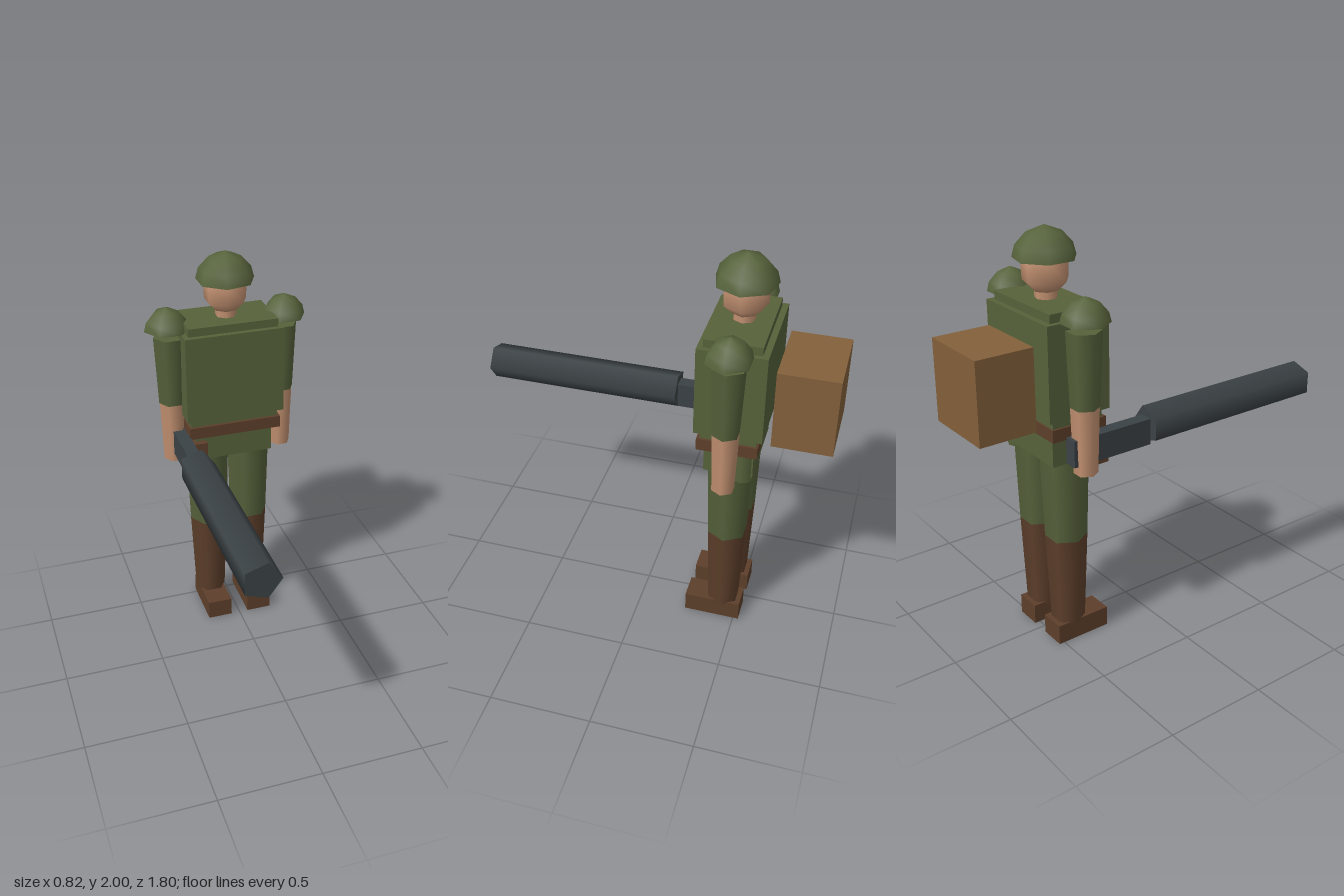
import * as THREE from 'three';

const paint = (name, color) => Object.assign(new THREE.MeshStandardMaterial({ color }), { name });

export function createModel() {
  const olive = paint('olive', 0x56623b);
  const skin = paint('skin', 0xc39171);
  const leather = paint('leather', 0x5d3f2b);
  const canvas = paint('canvas', 0x83603b);
  const steel = paint('steel', 0x3b4245);

  const model = new THREE.Group();
  model.name = 'soldier';
  const Z = -0.432; // depth of the body axis

  const add = (name, geometry, material, x = 0, y = 0, z = 0) => {
    const mesh = new THREE.Mesh(geometry, material);
    mesh.name = name;
    mesh.position.set(x, y, z);
    model.add(mesh);
    return mesh;
  };
  // Box given by its limits on each axis
  const box = (name, material, [x0, x1], [y0, y1], [z0, z1]) =>
    add(name, new THREE.BoxGeometry(x1 - x0, y1 - y0, z1 - z0), material,
      (x0 + x1) / 2, (y0 + y1) / 2, (z0 + z1) / 2);
  // Upright tapered limb with a corner towards +x
  const limb = (name, material, x, y0, y1, r0, r1, sides = 6, z = Z) =>
    add(name, new THREE.CylinderGeometry(r1, r0, y1 - y0, sides, 1, false, Math.PI / 2),
      material, x, (y0 + y1) / 2, z);
  const lathe = (name, material, points, sides, x, y) =>
    add(name, new THREE.LatheGeometry(points.map(p => new THREE.Vector2(...p)), sides, Math.PI / 2),
      material, x, y, Z);
  // Dome closed by a flat underside
  const dome = (name, radius, height, sides, x, y) => {
    const profile = [[1, 0], [0.9, 0.38], [0.55, 0.78], [0, 1]];
    lathe(name, olive, profile.map(([r, h]) => [r * radius, h * height]), sides, x, y);
    add(name + 'Underside', new THREE.CircleGeometry(radius, sides).rotateX(Math.PI / 2), olive, x, y, Z);
  };

  // Body
  box('torso', olive, [-0.225, 0.225], [1.1, 1.68], [-0.562, -0.302]);
  box('vest', olive, [-0.248, 0.248], [1.2, 1.64], [-0.59, -0.275]);
  box('belt', leather, [-0.236, 0.236], [1.1, 1.16], [-0.57, -0.287]);
  box('pelvis', olive, [-0.2, 0.2], [0.963, 1.12], [-0.55, -0.318]);
  box('backpack', canvas, [-0.185, 0.185], [1.15, 1.54], [-0.9, -0.62]);
  box('holster', leather, [-0.25, -0.147], [0.94, 1.07], [-0.4, -0.285]);
  limb('canteen', olive, 0.172, 0.94, 1.09, 0.054, 0.054, 8, -0.5);

  // Head
  limb('neck', skin, 0, 1.66, 1.75, 0.052, 0.052, 7);
  lathe('head', skin, [[0, 1.705], [0.06, 1.715], [0.105, 1.76], [0.107, 1.86], [0.06, 1.92], [0, 1.93]], 7, 0, 0);
  dome('helmet', 0.145, 0.143, 7, 0, 1.857);

  // Arms and legs
  for (const [side, s] of [['left', 1], ['right', -1]]) {
    dome(side + 'ShoulderPad', 0.11, 0.115, 6, s * 0.298, 1.64);
    limb(side + 'Sleeve', olive, s * 0.285, 1.255, 1.605, 0.066, 0.081);
    limb(side + 'Forearm', skin, s * 0.283, 0.94, 1.255, 0.055, 0.065);
    limb(side + 'Thigh', olive, s * 0.11, 0.55, 0.99, 0.1, 0.113);
    limb(side + 'Shin', leather, s * 0.11, 0.09, 0.55, 0.081, 0.1);
    box(side + 'Foot', leather, [s * 0.11 - 0.064, s * 0.11 + 0.064], [0, 0.1], [-0.527, -0.246]);
  }

  // Weapon carried in the right hand
  box('gunBody', steel, [-0.297, -0.232], [0.985, 1.112], [-0.5, -0.08]);
  const barrel = new THREE.CylinderGeometry(0.091, 0.091, 0.98, 5, 1, false, Math.PI / 2).rotateX(Math.PI / 2);
  add('gunBarrel', barrel, steel, -0.262, 1.07, 0.41);

  return model;
}
